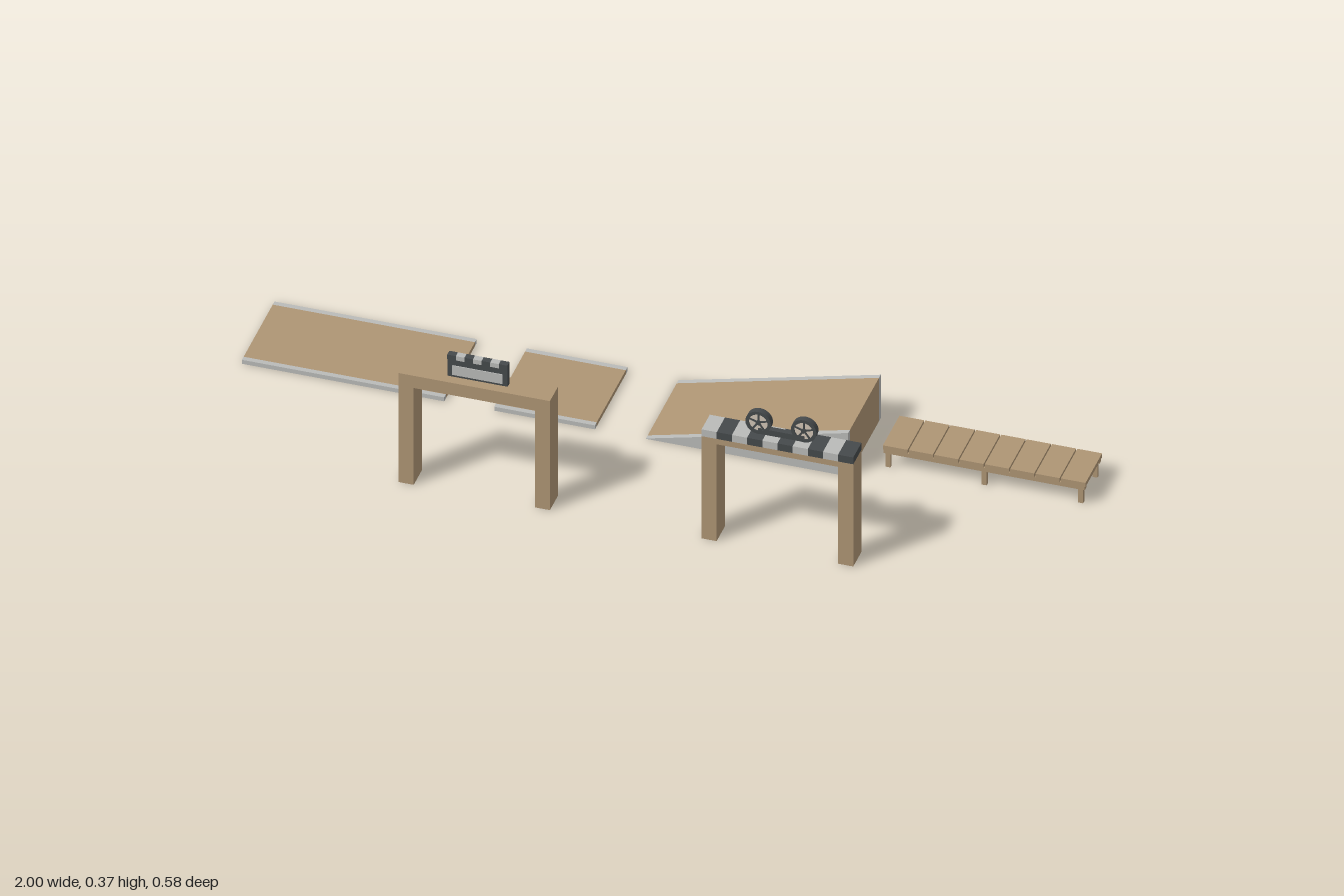
import * as THREE from 'three';

const mat = (name, color) => {
  const m = new THREE.MeshStandardMaterial({ color });
  m.name = name;
  return m;
};

export function createModel() {
  const tan = mat('tan wood', 0xae9574);
  const grey = mat('light grey', 0xb9bab8);
  const dark = mat('charcoal', 0x45494b);
  const cream = mat('pale rim', 0xcfc3b4);
  const root = new THREE.Group();
  root.name = 'trackSet';

  const group = (name, parent = root) => {
    const g = new THREE.Group();
    g.name = name;
    parent.add(g);
    return g;
  };
  const add = (parent, name, geometry, material) => {
    const m = new THREE.Mesh(geometry, material);
    m.name = name;
    parent.add(m);
    return m;
  };
  // Box given by its low and high limits on each axis
  const box = (parent, name, material, x0, x1, y0, y1, z0, z1) => {
    const m = add(parent, name, new THREE.BoxGeometry(x1 - x0, y1 - y0, z1 - z0), material);
    m.position.set((x0 + x1) / 2, (y0 + y1) / 2, (z0 + z1) / 2);
    return m;
  };

  // Road pieces: a wooden core between two grey kerbs, cut from one side profile
  const Z0 = -0.288, Z1 = -0.046, KERB = 0.013;
  const road = (name, points) => {
    const g = group(name);
    const shape = new THREE.Shape(points.map(([x, y]) => new THREE.Vector2(x, y)));
    const slice = (part, material, z0, z1) => {
      const geo = new THREE.ExtrudeGeometry(shape, { depth: z1 - z0, bevelEnabled: false });
      add(g, part, geo, material).position.z = z0;
    };
    slice('roadSurface', tan, Z0 + KERB, Z1 - KERB);
    slice('backKerb', grey, Z0, Z0 + KERB);
    slice('frontKerb', grey, Z1 - KERB, Z1);
  };
  const flat = (x0, x1) => [[x0, 0], [x1, 0], [x1, 0.011], [x0, 0.011]];
  road('longRoad', flat(-1, -0.516));
  road('shortRoad', flat(-0.396, -0.155));
  road('ramp', [[-0.033, 0], [0.451, 0], [0.451, 0.121], [-0.033, 0.001]]);

  // Plank bridge: eight slats on two rails with three pairs of legs
  const bridge = group('plankBridge');
  const B0 = 0.515, B1 = 1, pitch = (B1 - B0) / 8;
  for (let i = 0; i < 8; i++) {
    box(bridge, 'slat', tan, B0 + i * pitch + (i ? 0.0015 : 0), B0 + (i + 1) * pitch - (i < 7 ? 0.0015 : 0),
      0.05, 0.061, -0.228, -0.105);
  }
  for (const [outer, inner, leg] of [[-0.105, -0.118, -0.109], [-0.228, -0.215, -0.224]]) {
    box(bridge, 'rail', tan, B0 + 0.002, B1 - 0.002, 0.04, 0.05, Math.min(outer, inner), Math.max(outer, inner));
    for (const x of [0.526, 0.756, 0.987]) {
      box(bridge, 'leg', tan, x - 0.006, x + 0.006, 0, 0.04, Math.min(leg, inner), Math.max(leg, inner));
    }
  }

  // Gates: two posts and a crossbeam
  const G0 = 0.228, G1 = 0.289, GZ = 0.2585;
  const gate = (name, x0, x1, beamTop) => {
    const g = group(name);
    box(g, 'leftPost', tan, x1 - 0.036, x1, 0, 0.27, G0, G1);
    box(g, 'rightPost', tan, x0, x0 + 0.036, 0, 0.27, G0, G1);
    box(g, 'beam', tan, x0, x1, 0.27, beamTop, G0, G1);
    return g;
  };

  // Sign gate: framed panel with a chequered top strip
  const signGate = gate('signGate', -0.517, -0.155, 0.304);
  const sign = group('sign', signGate);
  const S0 = -0.408, S1 = -0.264;
  box(sign, 'panel', dark, S0, S1, 0.304, 0.352, GZ - 0.006, GZ + 0.006);
  for (const s of [-1, 1]) {
    const z = GZ + s * 0.007;
    box(sign, 'plate', grey, S0 + 0.012, S1 - 0.012, 0.31, 0.336, z - 0.001, z + 0.001);
  }
  for (let i = 0; i < 7; i++) {
    const w = (S1 - S0) / 7;
    box(sign, 'check', i % 2 ? grey : dark, S0 + i * w, S0 + (i + 1) * w, 0.352, 0.364, GZ - 0.008, GZ + 0.008);
  }

  // Wheel gate: chequered crossbeam topped by two wheels
  const X0 = 0.208, X1 = 0.571;
  const wheelGate = gate('wheelGate', X0, X1, 0.285);
  for (let i = 0; i < 10; i++) {
    const w = (X1 - X0) / 10;
    box(wheelGate, 'check', i % 2 ? dark : grey, X0 + i * w, X0 + (i + 1) * w, 0.285, 0.304, G0, G1);
  }
  box(wheelGate, 'wheelBase', dark, 0.336, 0.446, 0.304, 0.319, GZ - 0.007, GZ + 0.007);

  // Wheels: tyre ring, pale rim disc and five spokes
  for (const x of [0.336, 0.445]) {
    const wheel = group('wheel', wheelGate);
    wheel.position.set(x, 0.3345, GZ);
    const ring = new THREE.Shape().absarc(0, 0, 0.0305, 0, Math.PI * 2, false);
    ring.holes.push(new THREE.Path().absarc(0, 0, 0.0225, 0, Math.PI * 2, true));
    const tyre = new THREE.ExtrudeGeometry(ring, { depth: 0.016, bevelEnabled: false, curveSegments: 24 });
    add(wheel, 'tyre', tyre, dark).position.z = -0.008;
    add(wheel, 'rim', new THREE.CylinderGeometry(0.023, 0.023, 0.01, 24), cream).rotation.x = Math.PI / 2;
    add(wheel, 'hub', new THREE.CylinderGeometry(0.006, 0.006, 0.018, 12), dark).rotation.x = Math.PI / 2;
    for (let i = 0; i < 5; i++) {
      const a = Math.PI / 2 + (i * Math.PI * 2) / 5;
      const spoke = add(wheel, 'spoke', new THREE.BoxGeometry(0.023, 0.004, 0.014), dark);
      spoke.position.set(Math.cos(a) * 0.0115, Math.sin(a) * 0.0115, 0);
      spoke.rotation.z = a;
    }
  }
  return root;
}
